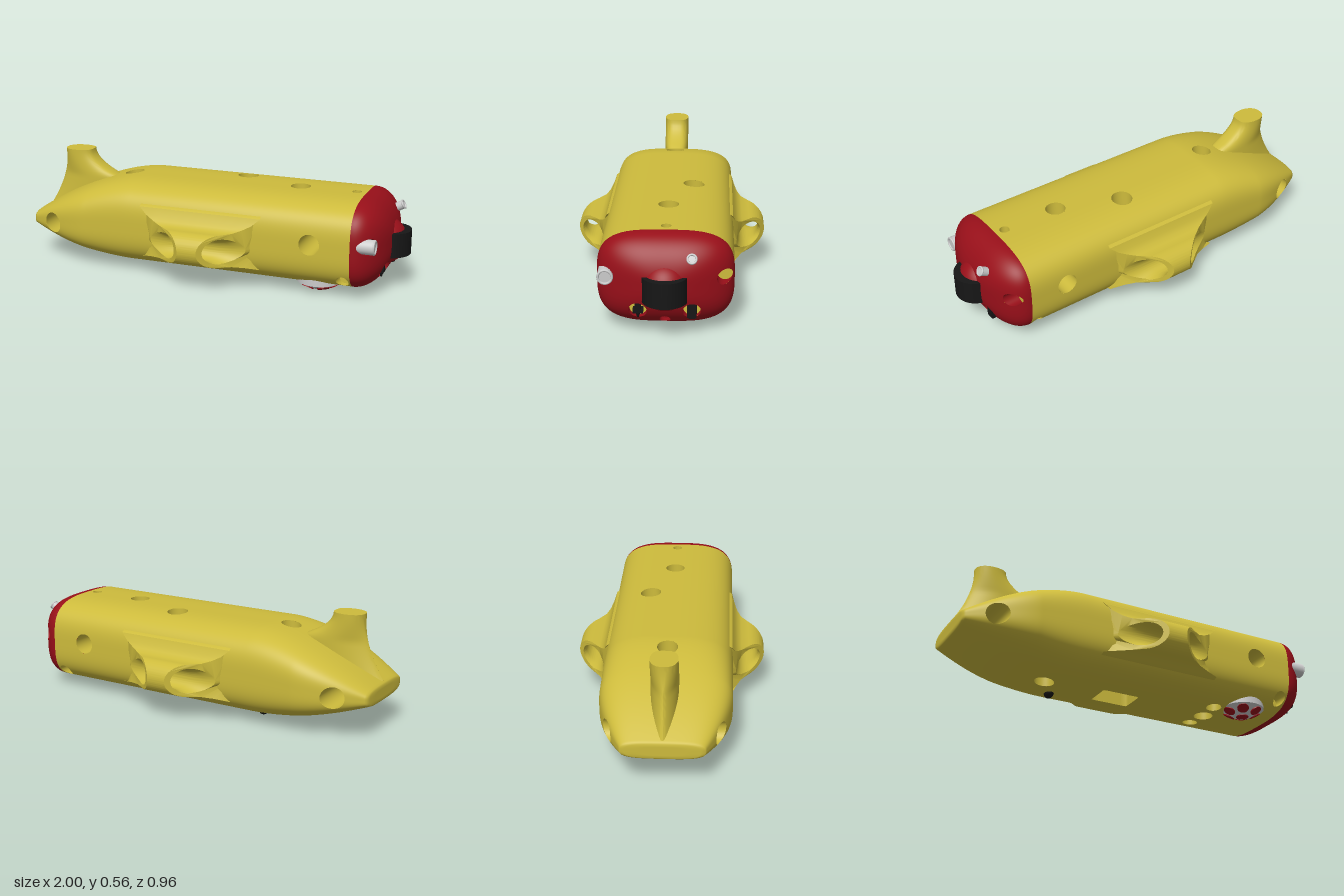
import * as THREE from 'three';
import { toCreasedNormals } from 'three/addons/utils/BufferGeometryUtils.js';
import { RoundedBoxGeometry } from 'three/addons/geometries/RoundedBoxGeometry.js';

const paint = (color) => new THREE.MeshStandardMaterial({ color, side: THREE.DoubleSide });
const yellow = paint(0xcdbb3c), red = paint(0x980f19), black = paint(0x161616), grey = paint(0xcccccc);
const N = 3.3; // squareness of the hull section
const NOSE_X = 0.77, NOSE_L = 0.165;

// Half width, half height and centre height of the hull at x
function section(x) {
  const t = Math.max(0, (-0.4 - x) / 0.6), u = Math.max(0, (-0.65 - x) / 0.35);
  const top = 0.47 - 0.23 * t ** 1.7, bottom = 0.03 + 0.13 * t ** 1.8;
  return { w: 0.315 - 0.125 * u ** 1.6, h: (top - bottom) / 2, cy: (top + bottom) / 2 };
}
const partner = (v) => Math.max(0, 1 - Math.abs(v) ** N) ** (1 / N);

// Closed loft: rows of rings, quads whose corners are all cut away are left out
function loft(rows, cols, point) {
  const pos = [], cut = [], index = [];
  for (let i = 0; i <= rows; i++) for (let j = 0; j < cols; j++) {
    const p = point(i / rows, j / cols, i);
    pos.push(p.x, p.y, p.z);
    cut.push(!!p.cut);
  }
  for (let i = 0; i < rows; i++) for (let j = 0; j < cols; j++) {
    const k = (j + 1) % cols;
    const a = i * cols + j, b = a + cols, c = (i + 1) * cols + k, d = i * cols + k;
    if (cut[a] && cut[b] && cut[c] && cut[d]) continue;
    index.push(a, b, c, a, c, d);
  }
  const g = new THREE.BufferGeometry();
  g.setAttribute('position', new THREE.Float32BufferAttribute(pos, 3));
  g.setIndex(index);
  g.computeVertexNormals();
  return g;
}

// Holes: axis, centre (a, b) across the axis, radii, side of the hull, depth coordinate, floor colour
const hole = (axis, a, b, r, side, to, floor, rb = r, square = false) => ({ axis, a, b, r, rb, side, to, floor, square });
const hullHoles = [
  hole('y', 0.11, -0.115, 0.053, 1, 0.38, yellow),
  hole('y', 0.72, 0, 0.025, 1, 0.42, yellow),
  hole('y', -0.09, -0.01, 0.1, -1, 0.12, yellow, 0.07, true),
];
for (const s of [1, -1]) hullHoles.push(
  hole('y', -0.49, 0, 0.05, s, 0.25), hole('y', 0.43, 0, 0.05, s, 0.25),
  hole('z', -0.85, 0.21, 0.054, s, 0), hole('z', 0.57, 0.27, 0.052, s, 0),
  hole('z', 0.73, 0.09, 0.032, s, s * 0.2, yellow),
  hole('y', 0.42, s * 0.12, 0.04, -1, 0.12, yellow));
const noseHoles = [
  hole('x', 0.27, 0.28, 0.04, 1, 0.775, red), hole('x', -0.27, 0.28, 0.036, 1, 0.8, yellow),
  hole('x', 0.122, 0.128, 0.042, 1, 0.85, yellow), hole('x', -0.122, 0.128, 0.042, 1, 0.85, yellow),
  hole('x', 0, 0.07, 0.025, 1, 0.8, red),
];
const reach = (h, da, db) => h.square ? Math.max(Math.abs(da) / h.r, Math.abs(db) / h.rb) : Math.hypot(da / h.r, db / h.rb);

// Point on the skin above (a, b), looking along the hole's axis
function project(h, a, b) {
  if (h.axis === 'x') {
    const s = ((Math.abs(a) / 0.315) ** N + (Math.abs(b - 0.25) / 0.22) ** N) ** (1 / N);
    return new THREE.Vector3(NOSE_X + NOSE_L * Math.sqrt(Math.max(0, 1 - s * s)), b, a);
  }
  const { w, h: hh, cy } = section(a);
  return h.axis === 'y'
    ? new THREE.Vector3(a, cy + h.side * hh * partner(b / w), b)
    : new THREE.Vector3(a, b, h.side * w * partner((b - cy) / hh));
}

// Push skin points that fall inside a hole out to its rim
function pierce(p, holes, cy) {
  for (const h of holes) {
    if (h.axis === 'y' && (p.y - cy) * h.side <= 0) continue;
    if (h.axis === 'z' && p.z * h.side <= 0) continue;
    const da = (h.axis === 'x' ? p.z : p.x) - h.a, db = (h.axis === 'y' ? p.z : p.y) - h.b;
    const m = reach(h, da, db);
    if (m >= 1) continue;
    const q = m < 1e-5 ? project(h, h.a + h.r, h.b) : project(h, h.a + da / m, h.b + db / m);
    q.cut = true;
    return q;
  }
  return p;
}

function ringPoint(x, k, v) {
  const { w, h, cy } = section(x), t = v * Math.PI * 2, c = Math.cos(t), s = Math.sin(t);
  const r = k / (Math.abs(c) ** N + Math.abs(s) ** N) ** (1 / N);
  return new THREE.Vector3(x, cy + h * r * s, w * r * c);
}

export function createModel() {
  const model = new THREE.Group();
  const add = (name, geometry, material, x = 0, y = 0, z = 0, parent = model) => {
    const m = new THREE.Mesh(geometry, material);
    m.name = name;
    m.position.set(x, y, z);
    parent.add(m);
    return m;
  };
  const rod = (r, l, r2 = r) => new THREE.CylinderGeometry(r, r2, l, 32).rotateZ(-Math.PI / 2);

  // Hull with a closed tail, and domed nose
  const rows = 184, tail = [0, 0.55, 0.9];
  add('hull', loft(rows, 200, (u, v, i) => {
    const x = i < 3 ? -1 : -0.995 + (NOSE_X + 0.995) * (i - 3) / (rows - 3);
    return pierce(ringPoint(x, i < 3 ? tail[i] : 1, v), hullHoles, section(x).cy);
  }), yellow);
  add('nose', loft(44, 200, (u, v) => {
    const a = u * Math.PI / 2, p = ringPoint(NOSE_X, Math.cos(a), v);
    p.x += NOSE_L * Math.sin(a);
    return pierce(p, noseHoles, 0.25);
  }), red);

  // Walls and floors of the holes
  for (const h of [...hullHoles, ...noseHoles]) {
    const rim = (v) => {
      const t = v * Math.PI * 2, da = h.r * Math.cos(t), db = h.rb * Math.sin(t), m = reach(h, da, db);
      return project(h, h.a + da / m, h.b + db / m);
    };
    const sunk = (v) => { const p = rim(v); p[h.axis] = h.to; return p; };
    add('holeWall', loft(1, 32, (u, v) => (u ? sunk(v) : rim(v))), h.axis === 'x' ? red : yellow);
    if (h.floor) {
      const centre = project(h, h.a, h.b);
      centre[h.axis] = h.to;
      add('holeFloor', loft(1, 32, (u, v) => (u ? centre : sunk(v))), h.floor);
    }
  }

  // Side wings, each with a flared tunnel running fore and aft
  const wing = new THREE.Shape();
  wing.moveTo(0.26, 0.1);
  [[0.28, 0.1], [0.31, 0.11], [0.335, 0.12], [0.36, 0.126]].forEach((p) => wing.lineTo(...p));
  wing.absarc(0.395, 0.21, 0.083, -Math.PI / 2, Math.PI / 2, false);
  [[0.36, 0.297], [0.34, 0.312], [0.325, 0.335], [0.312, 0.37], [0.29, 0.385], [0.26, 0.385],
    [0.26, 0.3], [0.26, 0.21]].forEach((p) => wing.lineTo(...p));
  wing.holes.push(new THREE.Path().absarc(0.395, 0.21, 0.062, 0, Math.PI * 2, true));
  let wingGeo = new THREE.ExtrudeGeometry(wing, { depth: 2, steps: 8, bevelEnabled: false, curveSegments: 32 });
  const wp = wingGeo.attributes.position;
  for (let i = 0; i < wp.count; i++) {
    let z = wp.getX(i), y = wp.getY(i);
    const t = wp.getZ(i) - 1, k = Math.min(1, Math.max(0, (0.478 - z) / 0.163));
    const x = -t * (0.05 + 0.18 * k + 0.09 * k ** 6);
    const d = Math.hypot(z - 0.395, y - 0.21);
    if (d < 0.064) {
      const f = (0.05 + 0.012 * t ** 4) / d;
      z = 0.395 + (z - 0.395) * f;
      y = 0.21 + (y - 0.21) * f;
    }
    wp.setXYZ(i, x, y, z);
  }
  wingGeo = toCreasedNormals(wingGeo, 0.6);
  add('leftWing', wingGeo, yellow);
  add('rightWing', wingGeo, yellow).rotation.y = Math.PI;

  // Tail fin: rounded front, tapered back, swept into the hull
  const finGeo = loft(21, 48, (u, v, i) => {
    const y = 0.25 + 0.315 * Math.min(1, i / 20), a = v * Math.PI * 2, c = Math.cos(a), s = Math.sin(a);
    const up = Math.max(0, (y - 0.43) / 0.135), k = i > 20 ? 0 : 1;
    const front = -0.73 + 0.16 * (1 - up) ** 2, back = -0.885 - 0.075 * ((0.565 - y) / 0.265) ** 2;
    const power = c > 0 ? 0.6 : 1.5 - 0.7 * up;
    return new THREE.Vector3((front + back) / 2 + k * c * (front - back) / 2, y,
      k * 0.065 * Math.sign(s) * Math.abs(s) ** power);
  });
  add('tailFin', toCreasedNormals(finGeo, 0.6), yellow);

  // Camera dome with a curved dark window
  add('cameraDome', new THREE.SphereGeometry(0.12, 48, 32), red, 0.86, 0.24, 0);
  add('windowFrame', new RoundedBoxGeometry(0.1, 0.128, 0.226, 4, 0.02), yellow, 0.875, 0.24, 0);
  add('cameraWindow', new THREE.CylinderGeometry(0.105, 0.105, 0.122, 64), black, 0.895, 0.24, 0);

  // Lamps on the nose
  add('sideLamp', rod(0.037, 0.1), grey, 0.83, 0.28, 0.27);
  add('sideLampRim', new THREE.TorusGeometry(0.032, 0.006, 10, 32).rotateY(Math.PI / 2), grey, 0.88, 0.28, 0.27);
  const lamp = add('upperLamp', rod(0.022, 0.08), grey, 0.895, 0.375, -0.122);
  lamp.rotation.z = 0.5;
  add('upperLampRim', new THREE.TorusGeometry(0.02, 0.005, 10, 32).rotateY(Math.PI / 2), grey, 0.04, 0, 0, lamp);

  // Probes in the lower recesses
  add('probeBody', new THREE.BoxGeometry(0.05, 0.05, 0.026), black, 0.875, 0.144, 0.122);
  add('probeCollar', new THREE.BoxGeometry(0.05, 0.014, 0.048), black, 0.875, 0.12, 0.122);
  add('probeTip', new THREE.CylinderGeometry(0.012, 0.004, 0.026, 16), black, 0.885, 0.102, 0.122);
  add('sensorBox', new THREE.BoxGeometry(0.05, 0.07, 0.044), black, 0.875, 0.128, -0.122);
  add('sensorCap', new THREE.BoxGeometry(0.04, 0.08, 0.03), black, 0.875, 0.128, -0.122);

  // Sonar under the hull: shallow cone with round red faces
  const sonar = new THREE.Group();
  sonar.name = 'sonar';
  sonar.position.set(0.58, 0, 0.145);
  model.add(sonar);
  const profile = [[0, 0.004], [0.045, 0.004], [0.113, 0.04], [0.113, 0.09], [0, 0.09]];
  add('sonarHousing', toCreasedNormals(new THREE.LatheGeometry(profile.map((p) => new THREE.Vector2(...p)), 48), 0.4),
    grey, 0, 0, 0, sonar);
  add('sonarFace', new THREE.CylinderGeometry(0.032, 0.032, 0.01, 32), red, 0, 0.005, 0, sonar);
  for (let i = 0; i < 6; i++) {
    const arm = new THREE.Group();
    arm.name = 'sonarArm';
    arm.rotation.y = i * Math.PI / 3;
    sonar.add(arm);
    add('sonarFace', new THREE.CylinderGeometry(0.03, 0.03, 0.008, 32), red, 0.078, 0.022, 0, arm).rotation.z = 0.487;
  }

  // Small dark dome under the tail
  add('bellySensor', new THREE.SphereGeometry(0.034, 24, 16).scale(0.7, 0.8, 1), black, -0.41, 0.036, -0.12);
  return model;
}
